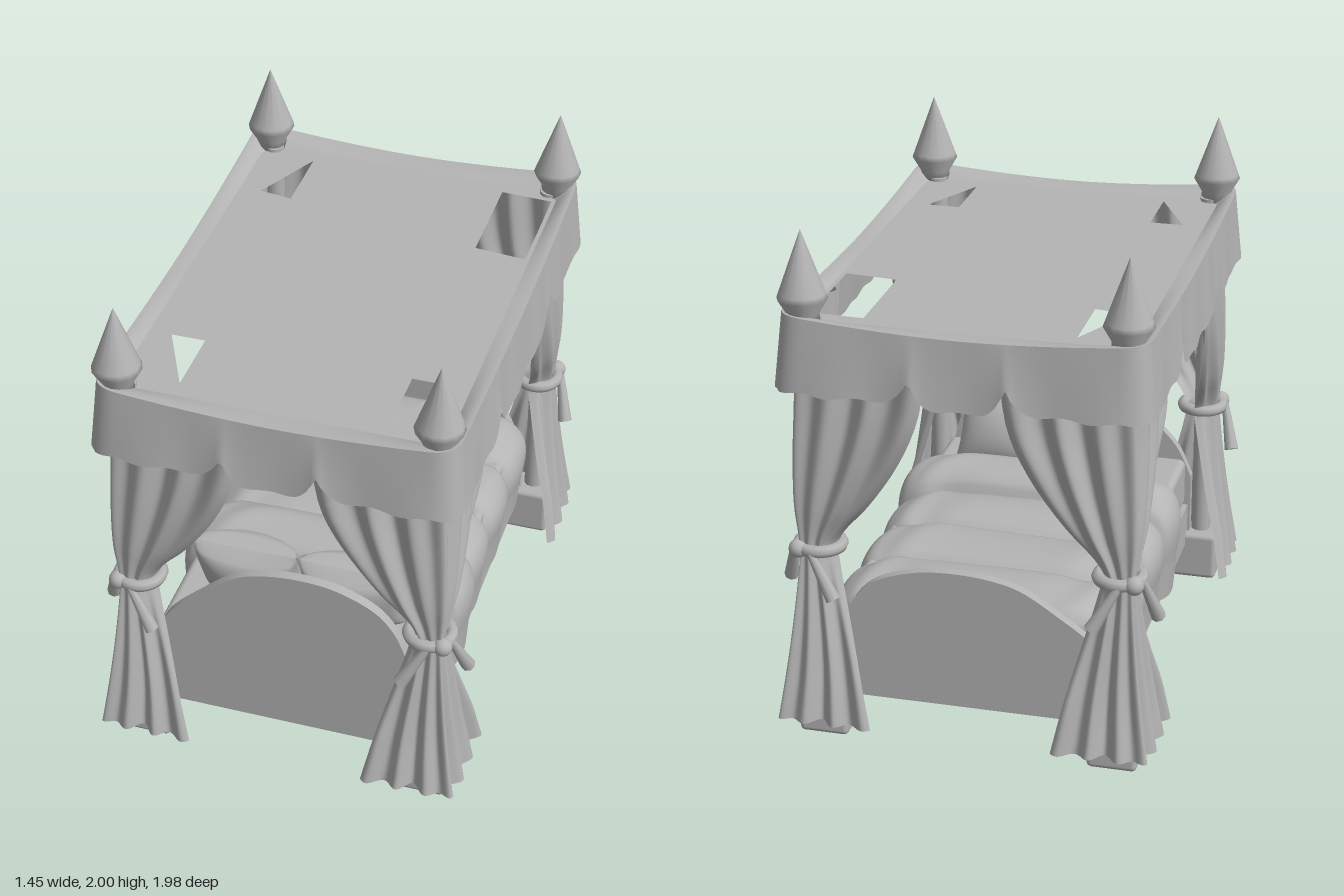
import * as THREE from 'three';
import { RoundedBoxGeometry } from 'three/addons/geometries/RoundedBoxGeometry.js';

const grey = new THREE.MeshStandardMaterial({ color: 0xb4b4b4, side: THREE.DoubleSide });
grey.name = 'plain grey';

function add(parent, name, geometry, x = 0, y = 0, z = 0) {
  const mesh = new THREE.Mesh(geometry, grey);
  mesh.name = name;
  mesh.position.set(x, y, z);
  parent.add(mesh);
  return mesh;
}

// Surface from a rule: fn(u, v) -> [x, y, z], u and v from 0 to 1
function surface(nu, nv, fn) {
  const pos = [], idx = [];
  for (let j = 0; j <= nv; j++) {
    for (let i = 0; i <= nu; i++) {
      pos.push(...fn(i / nu, j / nv));
      if (i < nu && j < nv) {
        const a = j * (nu + 1) + i, b = a + nu + 1;
        idx.push(a, b, a + 1, b, b + 1, a + 1);
      }
    }
  }
  const g = new THREE.BufferGeometry();
  g.setAttribute('position', new THREE.Float32BufferAttribute(pos, 3));
  g.setIndex(idx);
  g.computeVertexNormals();
  return g;
}

// Gathered drape round one corner; each point is (height, outer x, inner x)
const drape = new THREE.CatmullRomCurve3([
  [1.64, 0.64, 0.13], [1.35, 0.65, 0.16], [1.15, 0.655, 0.24], [0.95, 0.65, 0.37],
  [0.83, 0.635, 0.47], [0.77, 0.63, 0.5], [0.70, 0.635, 0.49], [0.5, 0.66, 0.44],
  [0.3, 0.69, 0.39], [0.09, 0.725, 0.345],
].map(p => new THREE.Vector3(...p)));

function curtainGeometry() {
  const soft = t => (t + Math.sqrt(t * t + 0.012)) / 2;
  return surface(100, 36, (u, v) => {
    const row = drape.getPoint(v), y = row.x;
    const s = u * 2 - 1;
    const loose = Math.min(1, Math.abs(y - 0.77) / 0.5);
    const amp = 0.006 + 0.021 * loose;
    const fold = amp * (Math.cos(s * Math.PI * 6.5 + 0.4 * Math.sin(y * 4)) - 1) * (0.8 + 0.2 * Math.sin(s * 9));
    // both ends turn in a little behind the tie
    const curl = 0.08 * (1 - loose) * Math.pow(Math.max(0, (Math.abs(s) - 0.6) / 0.4), 1.5);
    const side = (1 + Math.tanh(5 * s)) / 2;
    const x = row.y - (row.y - row.z) * soft(-s) + (fold - curl) * side;
    const z = row.y + 0.265 - (row.y - row.z + 0.035) * soft(s) + (fold - curl) * (1 - side);
    return [x, y, z];
  });
}

// Tapered ribbon between two points
function tail(parent, from, to) {
  const a = new THREE.Vector3(...from), b = new THREE.Vector3(...to);
  const mesh = add(parent, 'tieTail', new THREE.CylinderGeometry(0.028, 0.014, a.distanceTo(b), 8));
  mesh.position.copy(a).add(b).multiplyScalar(0.5);
  mesh.quaternion.setFromUnitVectors(new THREE.Vector3(0, 1, 0), b.sub(a).normalize());
}

// Puffed cover draped over the mattress
function quilt(z0, z1, puffs, hx, top, bottom, swell, rise) {
  const pow = (t, e) => Math.sign(t) * Math.pow(Math.abs(t), e);
  return surface(60, puffs * 18, (u, v) => {
    const p = Math.pow(Math.abs(Math.sin(v * puffs * Math.PI)), 0.45);
    const a = Math.PI * u, c = Math.cos(a), s = Math.sin(a);
    const hang = bottom + 0.008 * Math.cos(v * puffs * Math.PI * 2);
    const tuck = 0.04 * Math.pow(1 - s, 6);
    return [
      (hx + swell * p - tuck) * pow(c, 0.37),
      hang + (top + rise * p - hang) * pow(s, 0.4) + 0.005 * Math.sin(c * 14 + v * 9) * s,
      z0 + (z1 - z0) * v + 0.01 * Math.sin(c * 7) * s,
    ];
  });
}

// Cushion with slightly pointed corners
function pillowHalf(sign) {
  return surface(20, 20, (u, v) => {
    const a = u * 2 - 1, b = v * 2 - 1;
    const t = Math.pow((1 - a * a) * (1 - b * b), 0.42);
    return [0.215 * a * (1 - 0.1 * (1 - b * b)), 0.175 * b * (1 - 0.05 * (1 - a * a)), sign * 0.125 * t];
  });
}

// Arched board standing on the bed base, with its crown at the given height
function boardGeometry(crown) {
  const at = ([x, h]) => new THREE.Vector2(x, 0.15 + (crown - 0.15) * h);
  const shape = new THREE.Shape();
  shape.moveTo(-0.53, 0.15);
  shape.lineTo(0.53, 0.15);
  shape.lineTo(0.5, at([0, 0.48]).y);
  shape.splineThru([[0.47, 0.64], [0.42, 0.79], [0.34, 0.9], [0.2, 0.98], [0.06, 1],
    [-0.08, 0.98], [-0.2, 0.92], [-0.33, 0.775], [-0.46, 0.6], [-0.53, 0.41]].map(at));
  return new THREE.ExtrudeGeometry(shape, { depth: 0.04, bevelEnabled: false, curveSegments: 36 });
}

function roundedRect(hx, hz, r) {
  const s = new THREE.Shape();
  s.moveTo(-hx + r, -hz).lineTo(hx - r, -hz).quadraticCurveTo(hx, -hz, hx, -hz + r);
  s.lineTo(hx, hz - r).quadraticCurveTo(hx, hz, hx - r, hz);
  s.lineTo(-hx + r, hz).quadraticCurveTo(-hx, hz, -hx, hz - r);
  s.lineTo(-hx, -hz + r).quadraticCurveTo(-hx, -hz, -hx + r, -hz);
  return s;
}

function addCanopy(root) {
  const canopy = new THREE.Group();
  canopy.name = 'canopy';
  root.add(canopy);
  const N = 360, k = 0.905;
  const edge = roundedRect(0.67, 0.93, 0.1).getSpacedPoints(N);
  const rise = p => 0.04 * Math.pow(Math.abs(p.x * p.y) / (0.67 * 0.93), 1.8);

  // Roof cloth with its cut openings
  const roof = new THREE.Shape(edge.map(p => p.clone().multiplyScalar(k)));
  [
    [[-0.39, -0.78], [-0.52, -0.51], [-0.39, -0.49]],
    [[-0.52, 0.5], [-0.39, 0.5], [-0.39, 0.77]],
    [[0.39, 0.5], [0.52, 0.5], [0.39, 0.77]],
    [[0.39, -0.78], [0.59, -0.77], [0.59, -0.35], [0.39, -0.37]],
  ].forEach(h => roof.holes.push(new THREE.Path(h.map(p => new THREE.Vector2(...p)))));
  add(canopy, 'roofCloth', new THREE.ShapeGeometry(roof).rotateX(-Math.PI / 2).scale(1, 1, -1), 0, 1.657, 0);

  // Rim raised at the corners
  add(canopy, 'roofRim', surface(N, 6, (u, v) => {
    const p = edge[Math.round(u * N)], f = k + (1 - k) * v;
    return [p.x * f, 1.657 + (0.005 + rise(p)) * Math.sin(v * Math.PI / 2), p.y * f];
  }));

  // Flared valance with notched hem
  add(canopy, 'valance', surface(N, 8, (u, v) => {
    const p = edge[Math.round(u * N)];
    const onEnd = Math.abs(p.y) > 0.9;
    const along = Math.abs(onEnd ? p.x : p.y), notch = onEnd ? 0.165 : 0.36;
    const hem = 1.42 + 0.1 * Math.exp(-Math.abs(along - notch) / 0.035)
      - (along < notch ? 0.022 : 0.004) + 0.006 * Math.cos(along * 34);
    const top = 1.662 + rise(p);
    const wave = 0.006 * v * Math.sin(u * Math.PI * 2 * 20);
    return [p.x * (1 + 0.035 * v + wave), top + (hem - top) * v, p.y * (1 + 0.035 * v + wave)];
  }));
}

export function createModel() {
  const root = new THREE.Group();
  root.name = 'canopyBed';

  // Bed base and mattress
  add(root, 'bedBase', new THREE.BoxGeometry(1.04, 0.17, 1.62), 0, 0.235, 0);
  add(root, 'mattress', new RoundedBoxGeometry(1.02, 0.21, 1.56, 3, 0.03), 0, 0.43, 0);

  // Tall head board and lower foot board
  add(root, 'headboard', boardGeometry(0.885), 0, 0, 0.78);
  add(root, 'footboard', boardGeometry(0.7), 0, 0, -0.82);

  // Bedding
  add(root, 'blanket', quilt(-0.78, 0.15, 3, 0.54, 0.56, 0.2, 0.035, 0.04));
  add(root, 'blanketFold', quilt(0.11, 0.42, 1, 0.54, 0.56, 0.18, 0.055, 0.11));
  for (const s of [-1, 1]) {
    const pillow = new THREE.Group();
    pillow.name = 'pillow';
    add(pillow, 'pillowFront', pillowHalf(1));
    add(pillow, 'pillowBack', pillowHalf(-1));
    pillow.position.set(s * 0.21, 0.685, 0.58);
    pillow.rotation.x = 0.45;
    root.add(pillow);
  }

  addCanopy(root);

  // Corners: foot, post, finial, curtain and tie
  const curtain = curtainGeometry();
  const finial = new THREE.LatheGeometry([[0, 1.65], [0.06, 1.65], [0.06, 1.69], [0.092, 1.745], [0.085, 1.765], [0, 2]]
    .map(p => new THREE.Vector2(...p)), 14);
  const foot = new RoundedBoxGeometry(0.19, 0.2, 0.15, 2, 0.02);
  const post = new THREE.CylinderGeometry(0.04, 0.04, 1.6, 12);
  for (const sx of [-1, 1]) {
    for (const sz of [-1, 1]) {
      const corner = new THREE.Group();
      corner.name = 'corner';
      corner.scale.set(sx, 1, sz);
      root.add(corner);
      add(corner, 'foot', foot, 0.555, 0.1, 0.815);
      add(corner, 'post', post, 0.57, 0.87, 0.83);
      add(corner, 'finial', finial, 0.59, 0, 0.855);
      add(corner, 'curtain', curtain);
      const band = add(corner, 'tieBand', new THREE.TorusGeometry(0.08, 0.024, 8, 28), 0.565, 0.77, 0.82);
      band.rotation.x = Math.PI / 2;
      add(corner, 'tieKnot', new THREE.SphereGeometry(0.036, 14, 10), 0.63, 0.77, 0.885);
      tail(corner, [0.655, 0.77, 0.85], [0.7, 0.6, 0.77]);
      tail(corner, [0.58, 0.77, 0.905], [0.485, 0.6, 0.935]);
    }
  }
  return root;
}
